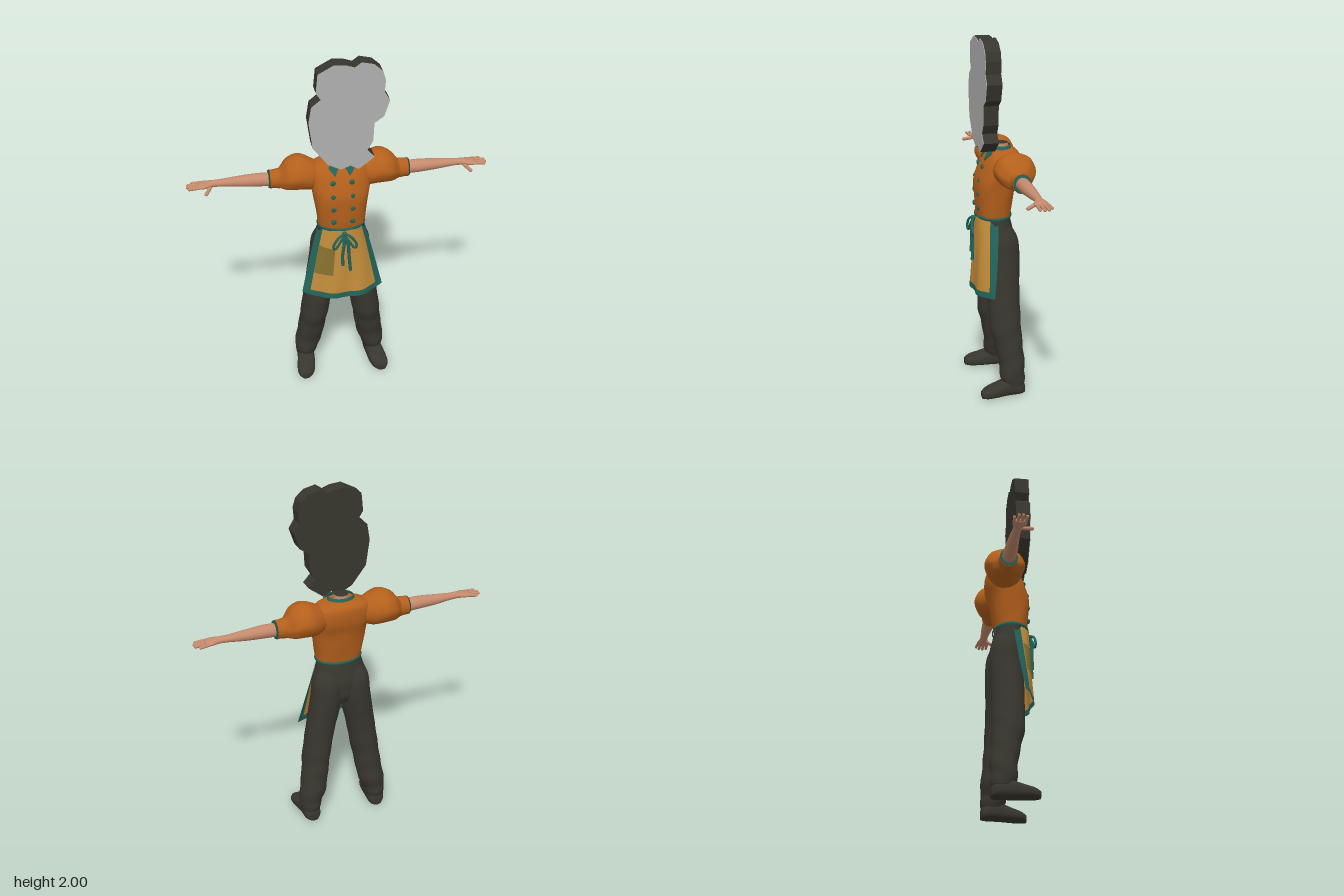
import * as THREE from 'three';

const mat = (name, color, side = THREE.FrontSide) => {
  const m = new THREE.MeshStandardMaterial({ color, side });
  m.name = name;
  return m;
};

// Smooth closed loft. Sections: [t, centreA, centreB, radiusA, radiusB] along one axis.
function loft(axis, secs, { pow = 1, seg = 32, sub = 5, wob = () => 1, caps = true } = {}) {
  const rings = [];
  const at = i => secs[Math.min(Math.max(i, 0), secs.length - 1)];
  for (let i = 0; i < secs.length - 1; i++) {
    for (let k = 0; k < sub + (i === secs.length - 2 ? 1 : 0); k++) {
      const s = k / sub;
      rings.push(secs[i].map((b, c) => {
        const a = at(i - 1)[c], d = at(i + 1)[c], e = at(i + 2)[c];
        return b + 0.5 * s * (d - a + s * (2 * a - 5 * b + 4 * d - e + s * (3 * (b - d) + e - a)));
      }));
    }
  }
  const place = (t, a, b) => axis === 'y' ? [a, t, b] : axis === 'x' ? [t, a, b] : [a, b, t];
  const pos = [], idx = [];
  const tri = (a, b, c) => axis === 'y' ? idx.push(a, b, c) : idx.push(a, c, b);
  const shape = v => Math.sign(v) * Math.abs(v) ** pow;
  rings.forEach(([t, a, b, ra, rb], r) => {
    for (let j = 0; j < seg; j++) {
      const th = j / seg * Math.PI * 2, w = wob(t, th);
      pos.push(...place(t, a + ra * w * shape(Math.cos(th)), b + rb * w * shape(Math.sin(th))));
      if (r) {
        const n = r * seg + j, n2 = r * seg + (j + 1) % seg;
        tri(n - seg, n, n2);
        tri(n - seg, n2, n2 - seg);
      }
    }
  });
  if (caps) {
    const last = (rings.length - 1) * seg, c = rings.length * seg;
    for (const ring of [rings[0], rings[rings.length - 1]]) pos.push(...place(ring[0], ring[1], ring[2]));
    for (let j = 0; j < seg; j++) {
      const j2 = (j + 1) % seg;
      tri(c, j, j2);
      tri(c + 1, last + j2, last + j);
    }
  }
  const g = new THREE.BufferGeometry();
  g.setAttribute('position', new THREE.Float32BufferAttribute(pos, 3));
  g.setIndex(idx);
  g.computeVertexNormals();
  return g;
}

// Mirrored copy across x with its corner order restored.
function mirror(geo) {
  const g = geo.clone().scale(-1, 1, 1);
  const ix = g.index.array;
  for (let i = 0; i < ix.length; i += 3) [ix[i + 1], ix[i + 2]] = [ix[i + 2], ix[i + 1]];
  g.computeVertexNormals();
  return g;
}

// Capsule between two points.
function finger(a, b, r) {
  const p = new THREE.Vector3(...a), q = new THREE.Vector3(...b), d = q.clone().sub(p);
  const turn = new THREE.Quaternion().setFromUnitVectors(new THREE.Vector3(0, 1, 0), d.clone().normalize());
  return new THREE.CapsuleGeometry(r, d.length(), 4, 10).applyQuaternion(turn)
    .translate(...p.add(q).multiplyScalar(0.5).toArray());
}

// Apron surface: u runs across, v runs from waist to hem.
function apronPatch(u0, u1, v0, v1, lift = 0) {
  const g = new THREE.PlaneGeometry(1, 1, 24, 24), p = g.attributes.position;
  for (let i = 0; i < p.count; i++) {
    const u = u0 + (u1 - u0) * (p.getX(i) + 0.5), v = v0 + (v1 - v0) * (0.5 - p.getY(i));
    const edge = 0.01 + 0.045 * v, front = 0.114 + 0.016 * v;
    const z = edge + (front - edge) * (1 - Math.abs(u) ** 3) + 0.006 * v * Math.sin(u * 9 + 1 + 3 * v);
    p.setXYZ(i, (0.122 + 0.108 * v ** 0.9) * u, 1.02 - v * (0.447 - 0.022 * u * u), z + lift);
  }
  g.computeVertexNormals();
  return g;
}

export function createModel() {
  const root = new THREE.Group();
  root.name = 'figure';
  const charcoal = mat('charcoal', 0x37362e);
  const grey = mat('grey', 0xb0b0b0);
  const orange = mat('orange', 0xb5601c);
  const teal = mat('teal', 0x22645a, THREE.DoubleSide);
  const ochre = mat('ochre', 0xc28c3a, THREE.DoubleSide);
  const olive = mat('olive', 0x86702f, THREE.DoubleSide);
  const skin = mat('skin', 0xc48a6c);
  const add = (name, geo, m) => {
    const mesh = new THREE.Mesh(geo, m);
    mesh.name = name;
    root.add(mesh);
    return mesh;
  };
  const pair = (name, geo, m) => {
    add(name + 'Left', geo, m);
    add(name + 'Right', mirror(geo), m);
  };

  // Flat cut-out head with a grey front
  const outline = new THREE.Shape([
    [-0.135, 1.95], [-0.05, 1.995], [0.01, 1.99], [0.055, 1.975], [0.09, 2], [0.155, 1.985], [0.2, 1.945],
    [0.215, 1.895], [0.21, 1.83], [0.24, 1.78], [0.21, 1.69], [0.16, 1.655], [0.155, 1.55], [0.125, 1.5],
    [0.165, 1.455], [0.08, 1.39], [0.035, 1.415], [-0.015, 1.395], [-0.085, 1.43], [-0.165, 1.535],
    [-0.185, 1.68], [-0.17, 1.77], [-0.12, 1.81], [-0.145, 1.85],
  ].map(p => new THREE.Vector2(...p)));
  const slab = (z, depth) => new THREE.ExtrudeGeometry(outline, { depth, bevelEnabled: false }).translate(0, 0, z);
  add('headSlab', slab(0.02, 0.082), charcoal);
  add('headFront', slab(0.102, 0.003), grey);

  // Shirt body and neck
  add('shirt', loft('y', [
    [1.015, 0, 0.015, 0.128, 0.088], [1.08, 0, 0.013, 0.136, 0.097], [1.2, 0, 0.005, 0.153, 0.109],
    [1.27, 0, -0.015, 0.164, 0.11], [1.33, 0, -0.03, 0.166, 0.1], [1.37, 0, -0.038, 0.14, 0.084],
    [1.39, 0, -0.035, 0.085, 0.06], [1.395, 0, -0.03, 0.06, 0.05],
  ], { pow: 0.82, seg: 48, wob: (t, a) => 1 + 0.008 * Math.sin(5 * a + 30 * t) }), orange);
  add('neck', new THREE.CylinderGeometry(0.04, 0.046, 0.06, 24).translate(0, 1.39, -0.03), [skin, charcoal, charcoal]);

  // Collar band and its two pointed flaps
  add('collarBand', loft('y', [[1.365, 0, -0.03, 0.088, 0.07], [1.39, 0, -0.028, 0.078, 0.06],
    [1.41, 0, -0.026, 0.068, 0.054]], { caps: false }), teal);
  for (const s of [1, -1]) {
    const flap = new THREE.Shape([[0.004, 0], [0.055, 0.006], [0.074, -0.03], [0.04, -0.078]]
      .map(([x, y]) => new THREE.Vector2(x * s, y)));
    const m = add('collarFlap', new THREE.ExtrudeGeometry(flap, { depth: 0.008, bevelEnabled: false }), teal);
    m.position.set(0, 1.4, 0.031);
    m.rotation.set(-0.55, s * 0.15, 0);
  }

  // Double row of buttons
  [[1.3, 0.083], [1.225, 0.102], [1.15, 0.107], [1.07, 0.107]].forEach(([y, z]) => {
    for (const x of [-0.055, 0.048]) {
      const b = add('button', new THREE.SphereGeometry(0.015, 16, 10), teal);
      b.scale.z = 0.6;
      b.position.set(x, y, z);
    }
  });

  // Puffed sleeves, cuffs and trims
  pair('puffSleeve', loft('x', [
    [0.11, 1.3, -0.04, 0.065, 0.065], [0.16, 1.305, -0.045, 0.087, 0.095], [0.2, 1.315, -0.05, 0.094, 0.108],
    [0.24, 1.317, -0.05, 0.093, 0.11], [0.285, 1.306, -0.05, 0.082, 0.095], [0.318, 1.29, -0.05, 0.06, 0.064],
    [0.335, 1.286, -0.05, 0.05, 0.05],
  ], { seg: 48, wob: (t, a) => 1 + 0.02 * Math.cos(8 * a) * Math.min(1, Math.max(0, (t - 0.16) * 8)) }), orange);
  pair('cuff', loft('x', [[0.318, 1.286, -0.05, 0.05, 0.048], [0.33, 1.286, -0.05, 0.056, 0.052],
    [0.36, 1.286, -0.05, 0.052, 0.049], [0.38, 1.286, -0.05, 0.053, 0.05]]), orange);
  pair('cuffTrim', loft('x', [[0.378, 1.286, -0.05, 0.052, 0.049], [0.387, 1.286, -0.05, 0.05, 0.047]], { sub: 1 }), teal);

  // Arms and hands
  pair('arm', loft('x', [
    [0.36, 1.285, -0.05, 0.037, 0.035], [0.45, 1.288, -0.05, 0.036, 0.036], [0.55, 1.288, -0.052, 0.029, 0.03],
    [0.64, 1.289, -0.052, 0.02, 0.023], [0.69, 1.289, -0.05, 0.018, 0.024], [0.73, 1.287, -0.048, 0.016, 0.037],
    [0.765, 1.285, -0.049, 0.011, 0.036],
  ], { seg: 24 }), skin);
  [[-0.078, -0.084, 0.795], [-0.059, -0.064, 0.818], [-0.04, -0.042, 0.82], [-0.021, -0.02, 0.81]].forEach(([z0, z1, x]) =>
    pair('finger', finger([0.75, 1.286, z0], [x, 1.282, z1], 0.0085), skin));
  pair('thumb', finger([0.695, 1.28, -0.04], [0.725, 1.265, 0.016], 0.01), skin);

  // Trousers
  add('trouserSeat', loft('y', [
    [0.76, 0, -0.03, 0.06, 0.05], [0.8, 0, -0.025, 0.12, 0.072], [0.85, 0, -0.015, 0.16, 0.085],
    [0.9, 0, -0.012, 0.158, 0.089], [0.97, 0, 0, 0.138, 0.085], [1.02, 0, 0.01, 0.125, 0.083],
  ]), charcoal);
  const crease = (t, a) => 1 + 0.03 * Math.sin(48 * t + 2 * Math.sin(a)) * Math.min(1, Math.max(0, (0.75 - t) * 1.6));
  pair('trouserLeg', loft('y', [
    [0.07, 0.203, -0.055, 0.055, 0.06], [0.1, 0.2, -0.053, 0.063, 0.068], [0.13, 0.197, -0.05, 0.066, 0.07],
    [0.2, 0.181, -0.048, 0.077, 0.073], [0.3, 0.165, -0.035, 0.077, 0.079], [0.4, 0.151, -0.021, 0.08, 0.088],
    [0.58, 0.123, -0.018, 0.083, 0.088], [0.7, 0.1, -0.02, 0.088, 0.091], [0.8, 0.085, -0.022, 0.088, 0.093],
    [0.9, 0.078, -0.018, 0.084, 0.086], [0.98, 0.065, 0, 0.06, 0.06],
  ], { sub: 8, wob: crease }), charcoal);

  // Shoes
  pair('shoe', loft('z', [
    [-0.117, 0.2, 0.035, 0.028, 0.028], [-0.09, 0.202, 0.046, 0.048, 0.042], [-0.02, 0.206, 0.052, 0.05, 0.048],
    [0.05, 0.215, 0.041, 0.053, 0.037], [0.1, 0.222, 0.033, 0.047, 0.029], [0.132, 0.226, 0.026, 0.026, 0.019],
  ], { pow: 0.75 }), charcoal);

  // Apron with border, waistband and pocket
  add('apronCloth', apronPatch(-0.84, 0.84, 0, 0.925), ochre);
  add('apronHem', apronPatch(-0.84, 0.84, 0.925, 1), teal);
  add('apronEdgeLeft', apronPatch(0.84, 1, 0, 1), teal);
  add('apronEdgeRight', apronPatch(-1, -0.84, 0, 1), teal);
  add('apronPocket', apronPatch(-0.84, -0.32, 0.27, 0.66, 0.004), olive);
  add('waistband', loft('y', [[1.008, 0, 0.014, 0.132, 0.098], [1.018, 0, 0.014, 0.136, 0.102],
    [1.028, 0, 0.014, 0.133, 0.098]], { caps: false, seg: 48 }), teal);

  // Tied bow: knot, loops and hanging tails
  const cord = (name, pts, closed, r = 0.007) => add(name, new THREE.TubeGeometry(
    new THREE.CatmullRomCurve3(pts.map(p => new THREE.Vector3(...p)), closed), 32, r, 8, closed), teal);
  add('bowKnot', new THREE.SphereGeometry(0.014, 16, 10).translate(0, 1, 0.126), teal);
  for (const s of [1, -1]) {
    cord('bowLoop', [[0, 1, 0.126], [s * 0.035, 0.985, 0.14], [s * 0.065, 0.935, 0.145],
      [s * 0.055, 0.915, 0.142], [s * 0.025, 0.955, 0.136]], true);
  }
  cord('bowTailLeft', [[0, 1, 0.126], [0.018, 0.94, 0.136], [0.024, 0.86, 0.135], [0.032, 0.765, 0.139]], false, 0.009);
  cord('bowTailRight', [[0, 1, 0.126], [-0.004, 0.93, 0.134], [-0.012, 0.86, 0.133], [-0.01, 0.8, 0.136]], false, 0.009);

  return root;
}
